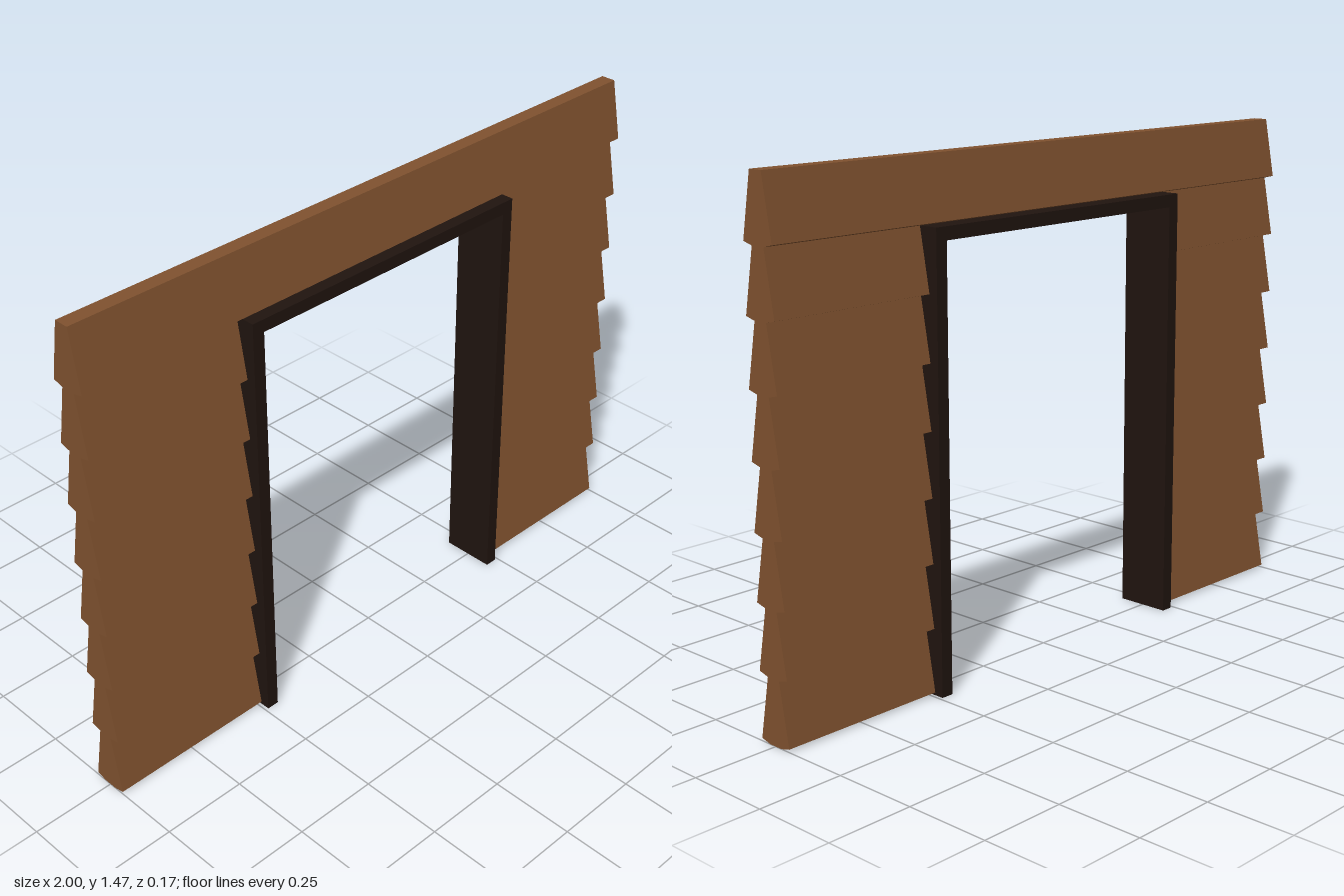
import * as THREE from 'three';

export function createModel() {
  const model = new THREE.Group();
  model.name = 'sidingWallWithDoorway';

  const wood = new THREE.MeshStandardMaterial({ color: 0x80522f, flatShading: true });
  const darkWood = new THREE.MeshStandardMaterial({ color: 0x20140f, flatShading: true });

  const rows = 8, pitch = 0.1835;
  const halfWidth = 1, doorOuter = 0.49, doorInner = 0.453;
  const frameTop = 1.285, lintelBottom = 1.248, frameDepth = 0.165;

  // Board cross-section: narrow top, wide lower lip with a slightly raised edge
  const profile = new THREE.Shape([
    [-0.022, 0], [0.022, 0], [0.054, 0.008], [0.022, pitch], [-0.022, pitch], [-0.054, 0.008],
  ].map(([z, y]) => new THREE.Vector2(z, y)));

  function addBoard(name, x0, x1, y) {
    const geometry = new THREE.ExtrudeGeometry(profile, { depth: x1 - x0, bevelEnabled: false });
    geometry.rotateY(Math.PI / 2);
    const board = new THREE.Mesh(geometry, wood);
    board.name = name;
    board.position.set(x0, y, 0);
    model.add(board);
  }

  // Clapboards on both sides of the doorway, one full-length board on top
  for (let i = 0; i < rows - 1; i++) {
    addBoard('rightBoard' + (i + 1), -halfWidth, -0.47, i * pitch);
    addBoard('leftBoard' + (i + 1), 0.47, halfWidth, i * pitch);
  }
  addBoard('topBoard', -halfWidth, halfWidth, (rows - 1) * pitch);

  // Door frame: one U-shaped outline with jambs and lintel
  const outline = new THREE.Shape([
    [-doorOuter, 0], [-doorInner, 0], [-doorInner, lintelBottom], [doorInner, lintelBottom],
    [doorInner, 0], [doorOuter, 0], [doorOuter, frameTop], [-doorOuter, frameTop],
  ].map(([x, y]) => new THREE.Vector2(x, y)));
  const frameGeometry = new THREE.ExtrudeGeometry(outline, { depth: frameDepth, bevelEnabled: false });
  frameGeometry.translate(0, 0, -frameDepth / 2);
  const frame = new THREE.Mesh(frameGeometry, darkWood);
  frame.name = 'doorFrame';
  model.add(frame);

  return model;
}
